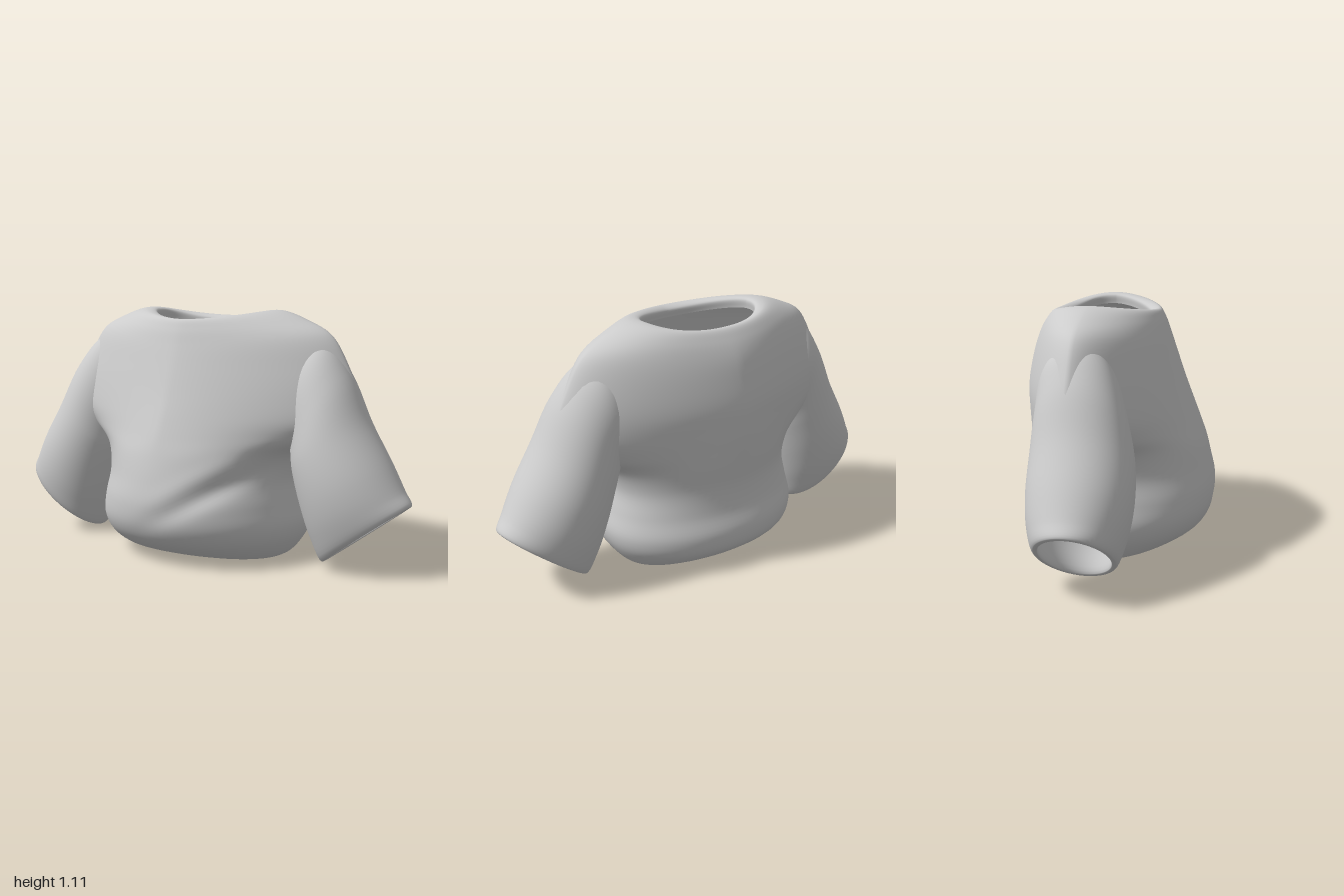
import * as THREE from 'three';

const COLS = 80;
const signedPow = (v, p) => Math.sign(v) * Math.pow(Math.abs(v), p);

// Smooth skin through a list of closed rings (outside faces out when rings run top to bottom)
function loft(rings, steps, adjust) {
  const rows = (rings.length - 1) * steps;
  const positions = new Float32Array((rows + 1) * COLS * 3);
  const index = [];
  const p = new THREE.Vector3();
  for (let c = 0; c < COLS; c++) {
    const column = new THREE.CatmullRomCurve3(rings.map((ring) => ring((c / COLS) * Math.PI * 2)));
    for (let r = 0; r <= rows; r++) {
      column.getPoint(r / rows, p);
      if (adjust) adjust(p);
      p.toArray(positions, (r * COLS + c) * 3);
      if (r === rows) continue;
      const a = r * COLS + c;
      const b = r * COLS + ((c + 1) % COLS);
      index.push(a, b, a + COLS, b, b + COLS, a + COLS);
    }
  }
  const geometry = new THREE.BufferGeometry();
  geometry.setAttribute('position', new THREE.BufferAttribute(positions, 3));
  geometry.setIndex(index);
  geometry.computeVertexNormals();
  return geometry;
}

// Horizontal body ring: height, half width, front z, back z, lift at the sides,
// roundness of the front half and of the back half
function bodyRing([y, w, front, back, lift, nFront, nBack = nFront]) {
  const side = -0.09;
  return (t) => {
    const c = Math.cos(t);
    const s = -Math.sin(t);
    const depth = s > 0 ? front - side : side - back;
    const n = s > 0 ? nFront : nBack;
    return new THREE.Vector3(
      w * signedPow(c, 2 / n),
      y + lift * c * c,
      side + depth * signedPow(s, 2 / n)
    );
  };
}

// Tilted sleeve ring: armpit point, outer point, centre z, half depth
function sleeveRing([ax, ay, bx, by, z, d]) {
  return (t) => {
    const k = (1 + Math.cos(t)) / 2;
    return new THREE.Vector3(ax + (bx - ax) * k, ay + (by - ay) * k, z - d * Math.sin(t));
  };
}

// Diagonal cloth fold running from the left armpit down across the belly
function foldFront(p) {
  if (p.z < 0) return;
  const along = (p.x + 0.05) / 0.5;
  const below = 0.22 + 0.27 * along - p.y;
  const fade = Math.exp(-Math.pow((along - 0.6) / 0.4, 2));
  p.z -= 0.022 * fade * Math.exp(-Math.pow((below - 0.04) / 0.05, 2));
  p.z += 0.008 * fade * Math.exp(-Math.pow((below + 0.05) / 0.05, 2));
}

export function createModel() {
  const model = new THREE.Group();
  model.name = 'sweater';
  const cloth = new THREE.MeshStandardMaterial({ color: 0xcccccc, side: THREE.DoubleSide });

  // Body from the neckline, out over the wide shoulders, in under the arms, to the tucked-in hem
  const bodyRings = [
    [1.02, 0.29, 0.13, -0.25, 0.04, 1.6, 2.4],
    [1.055, 0.29, 0.13, -0.25, 0.045, 1.6, 2.4],
    [1.07, 0.35, 0.17, -0.29, 0.038, 1.65, 2.1],
    [1.03, 0.49, 0.195, -0.33, 0.035, 1.6, 1.8],
    [0.96, 0.605, 0.22, -0.37, 0.045, 1.55],
    [0.86, 0.69, 0.255, -0.4, 0.01, 1.5],
    [0.75, 0.74, 0.295, -0.42, 0, 1.45],
    [0.65, 0.755, 0.335, -0.42, 0, 1.4],
    [0.57, 0.66, 0.365, -0.415, 0, 1.5],
    [0.49, 0.5, 0.39, -0.405, 0, 1.85],
    [0.38, 0.455, 0.415, -0.39, 0, 2],
    [0.27, 0.47, 0.43, -0.4, 0, 2.1],
    [0.17, 0.488, 0.415, -0.43, 0, 2.1],
    [0.09, 0.465, 0.36, -0.415, 0, 2.1],
    [0.025, 0.39, 0.23, -0.32, -0.02, 2.1],
    [0.03, 0.33, 0.17, -0.26, -0.02, 2],
    [0.07, 0.33, 0.18, -0.27, 0, 2],
  ];
  const body = new THREE.Mesh(loft(bodyRings.map(bodyRing), 6, foldFront), cloth);
  body.name = 'body';
  model.add(body);

  // Sleeves from inside the shoulder to a rolled cuff, mirrored
  const sleeveRings = [
    [0.38, 0.64, 0.46, 0.98, -0.085, 0.11],
    [0.43, 0.55, 0.585, 0.975, -0.08, 0.17],
    [0.46, 0.49, 0.7, 0.845, -0.06, 0.195],
    [0.475, 0.42, 0.8, 0.645, -0.045, 0.215],
    [0.515, 0.27, 0.9, 0.48, -0.04, 0.22],
    [0.565, 0.12, 0.965, 0.365, -0.04, 0.2],
    [0.615, 0.02, 1.0, 0.31, -0.04, 0.165],
    [0.635, 0.035, 0.98, 0.295, -0.04, 0.145],
    [0.59, 0.15, 0.935, 0.38, -0.04, 0.18],
    [0.54, 0.28, 0.875, 0.475, -0.04, 0.2],
  ];
  for (const side of [1, -1]) {
    const geometry = loft(sleeveRings.map(sleeveRing), 6);
    if (side < 0) {
      // Mirror and reverse the corners so the outside still faces out
      geometry.scale(-1, 1, 1);
      geometry.index.array.reverse();
      geometry.computeVertexNormals();
    }
    const sleeve = new THREE.Mesh(geometry, cloth);
    sleeve.name = side > 0 ? 'leftSleeve' : 'rightSleeve';
    model.add(sleeve);
  }
  return model;
}
